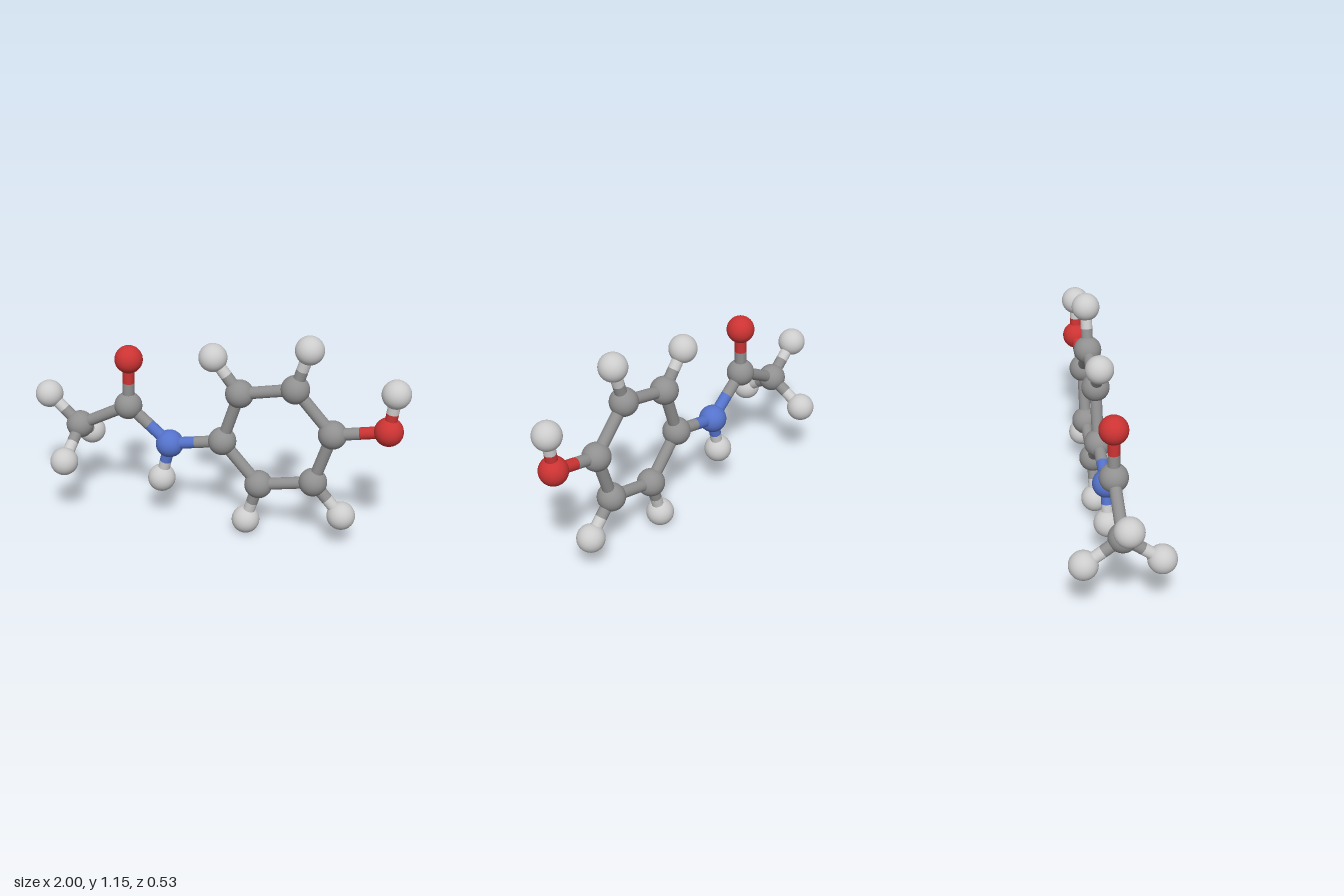
import * as THREE from 'three';

const ATOM_RADIUS = 0.073;
const BOND_RADIUS = 0.031;

// Atoms: element, x, y, z
const ATOMS = {
  methylCarbon: ['carbon', -0.757, 0.488, 0],
  methylHydrogenOuter: ['hydrogen', -0.927, 0.643, 0],
  methylHydrogenFront: ['hydrogen', -0.772, 0.354, 0.189],
  methylHydrogenBack: ['hydrogen', -0.776, 0.362, -0.191],
  carbonylCarbon: ['carbon', -0.476, 0.64, 0],
  carbonylOxygen: ['oxygen', -0.466, 0.902, 0],
  nitrogen: ['nitrogen', -0.249, 0.453, 0],
  amideHydrogen: ['hydrogen', -0.297, 0.243, 0],
  ringCarbon1: ['carbon', 0.04, 0.513, 0],
  ringCarbon2: ['carbon', 0.131, 0.794, 0],
  ringCarbon3: ['carbon', 0.42, 0.858, 0],
  ringCarbon4: ['carbon', 0.618, 0.639, 0],
  ringCarbon5: ['carbon', 0.527, 0.356, 0],
  ringCarbon6: ['carbon', 0.238, 0.294, 0],
  ringHydrogen2: ['hydrogen', -0.01, 0.973, 0],
  ringHydrogen3: ['hydrogen', 0.487, 1.077, 0],
  ringHydrogen5: ['hydrogen', 0.68, 0.187, 0],
  ringHydrogen6: ['hydrogen', 0.171, 0.074, 0],
  hydroxylOxygen: ['oxygen', 0.898, 0.7, 0],
  hydroxylHydrogen: ['hydrogen', 0.924, 0.905, 0],
};

const BONDS = [
  ['methylCarbon', 'methylHydrogenOuter'],
  ['methylCarbon', 'methylHydrogenFront'],
  ['methylCarbon', 'methylHydrogenBack'],
  ['methylCarbon', 'carbonylCarbon'],
  ['carbonylCarbon', 'carbonylOxygen'],
  ['carbonylCarbon', 'nitrogen'],
  ['nitrogen', 'amideHydrogen'],
  ['nitrogen', 'ringCarbon1'],
  ['ringCarbon4', 'hydroxylOxygen'],
  ['hydroxylOxygen', 'hydroxylHydrogen'],
];
for (let i = 1; i <= 6; i++) BONDS.push([`ringCarbon${i}`, `ringCarbon${(i % 6) + 1}`]);
for (const i of [2, 3, 5, 6]) BONDS.push([`ringCarbon${i}`, `ringHydrogen${i}`]);

export function createModel() {
  const model = new THREE.Group();
  model.name = 'ballAndStickMolecule';

  const materials = {};
  const colors = { carbon: 0x909090, hydrogen: 0xcccccc, oxygen: 0xcc3333, nitrogen: 0x5573cc };
  for (const [name, color] of Object.entries(colors)) {
    materials[name] = new THREE.MeshStandardMaterial({ color });
    materials[name].name = name;
  }

  const position = (name) => new THREE.Vector3(...ATOMS[name].slice(1));

  // Balls
  const ball = new THREE.SphereGeometry(ATOM_RADIUS, 40, 28);
  for (const name of Object.keys(ATOMS)) {
    const mesh = new THREE.Mesh(ball, materials[ATOMS[name][0]]);
    mesh.name = name;
    mesh.position.copy(position(name));
    model.add(mesh);
  }

  // Sticks: each half takes the colour of the atom it touches
  const up = new THREE.Vector3(0, 1, 0);
  function addHalfBond(from, to) {
    const start = position(from);
    const middle = start.clone().lerp(position(to), 0.5);
    const direction = middle.clone().sub(start);
    const length = direction.length();
    const geometry = new THREE.CylinderGeometry(BOND_RADIUS, BOND_RADIUS, length, 24, 1, true);
    const mesh = new THREE.Mesh(geometry, materials[ATOMS[from][0]]);
    mesh.name = `${from}Bond`;
    mesh.position.copy(start).lerp(middle, 0.5);
    mesh.quaternion.setFromUnitVectors(up, direction.normalize());
    model.add(mesh);
  }
  for (const [a, b] of BONDS) {
    addHalfBond(a, b);
    addHalfBond(b, a);
  }

  return model;
}
